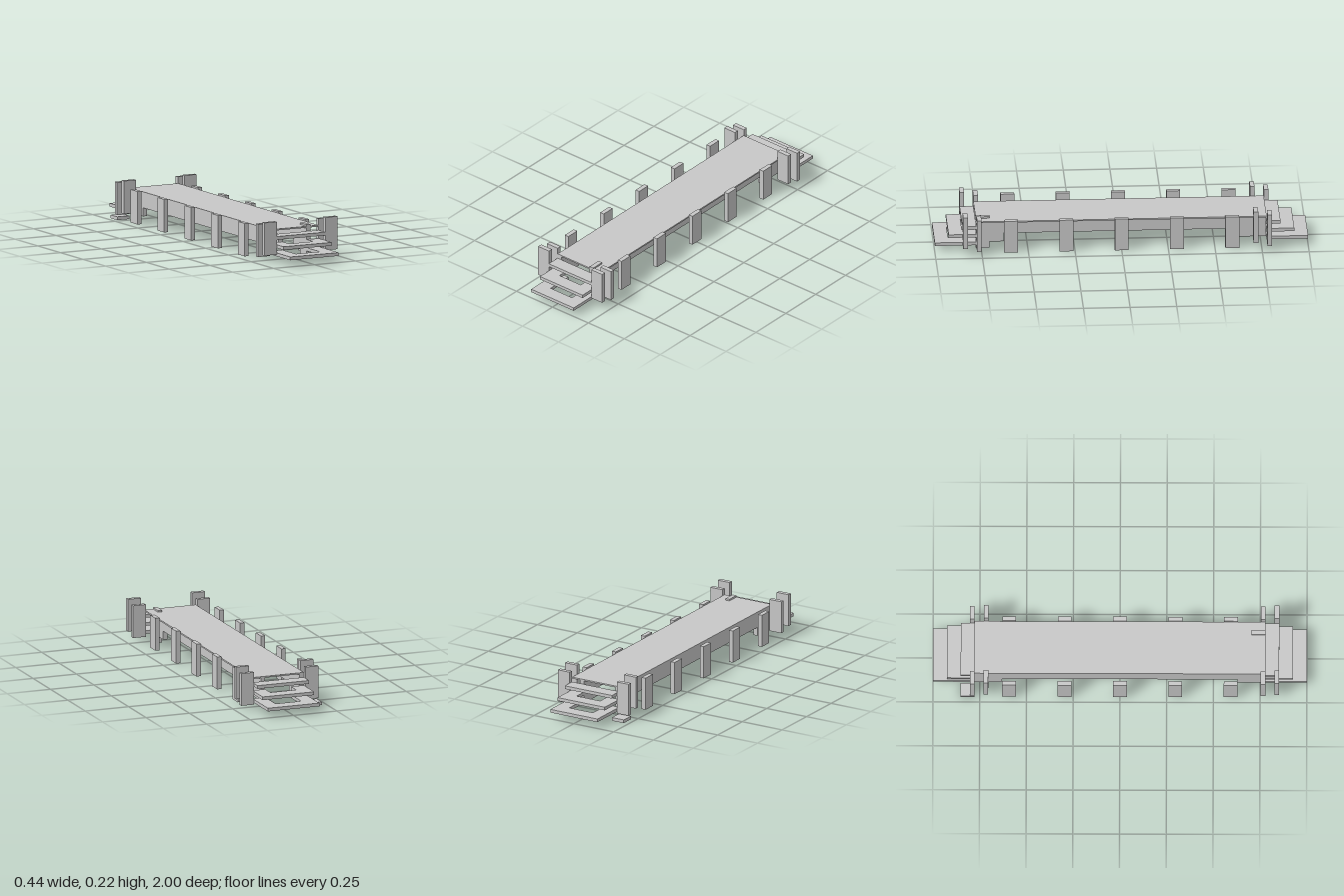
import * as THREE from 'three';

export function createModel() {
  const root = new THREE.Group();
  const grey = new THREE.MeshStandardMaterial({ color: 0xc8c8c8 });
  grey.name = 'light grey';

  const U = 2 / 27;          // one plank unit
  const W = 2 * U;           // half width of the walkway
  const END = 10.5 * U;      // half length of the deck
  const T = 0.0247;          // post and beam thickness
  const SLAB = 0.018;        // step thickness

  function add(name, geometry) {
    const mesh = new THREE.Mesh(geometry, grey);
    mesh.name = name;
    root.add(mesh);
    return mesh;
  }

  // Box given by its lower and upper limits on each axis
  function box(name, x0, x1, y0, y1, z0, z1) {
    const mesh = add(name, new THREE.BoxGeometry(x1 - x0, y1 - y0, z1 - z0));
    mesh.position.set((x0 + x1) / 2, (y0 + y1) / 2, (z0 + z1) / 2);
  }

  function extrude(points, depth) {
    const shape = new THREE.Shape(points.map(([a, b]) => new THREE.Vector2(a, b)));
    return new THREE.ExtrudeGeometry(shape, { depth, bevelEnabled: false });
  }

  // Deck
  box('deck', -W, W, 0.162, 0.17, -END, END);

  // Long side beams with a deeper foot at each end
  const foot = END - 2 * U;
  const beam = [
    [-END, 0.036], [-foot, 0.036], [-foot, 0.083], [foot, 0.083],
    [foot, 0.036], [END, 0.036], [END, 0.162], [-END, 0.162],
  ];
  for (const x of [-W, U]) {
    const mesh = add('sideBeam', extrude(beam, T).rotateY(-Math.PI / 2));
    mesh.position.x = x + T;
  }

  // Steps at both ends: the upper is one plank, the lower two are U-shaped frames
  for (const turn of [0, Math.PI]) {
    [[3, 0.054], [2, 0.0985], [1, 0.143]].forEach(([n, top]) => {
      const out = END + n * U, inner = out - U;
      const outline = n === 1
        ? [[-W, END], [W, END], [W, out], [-W, out]]
        : [[-W, END], [-U, END], [-U, inner], [U, inner], [U, END], [W, END], [W, out], [-W, out]];
      const mesh = add('step', extrude(outline, SLAB).rotateX(Math.PI / 2));
      mesh.position.y = top;
      mesh.rotation.y = turn;
    });
  }

  // Posts along both sides
  for (let i = -2; i <= 2; i++) {
    const z = i * 4 * U;
    box('leftPost', W, W + T, 0, 0.179, z - U / 2, z + U / 2);
    box('rightPost', -3 * U, -3 * U + T, 0.009, 0.188, z - U / 2, z + U / 2);
  }
  box('innerPost', U, U + T, 0, 0.179, END - U, END);

  // Broad corner posts, a low and a tall pair at each end
  for (const x of [-3 * U, W]) {
    for (const [z, y] of [[0.753, 0.027], [0.827, 0.045], [-0.803, 0.027], [-0.729, 0.045]]) {
      box('cornerPost', x, x + U, y, y + 0.178, z, z + T);
    }
  }

  // Small pad on the ground at the rear corner
  box('groundPad', -3 * U, -W, 0, SLAB, -END - U, -END);

  return root;
}
